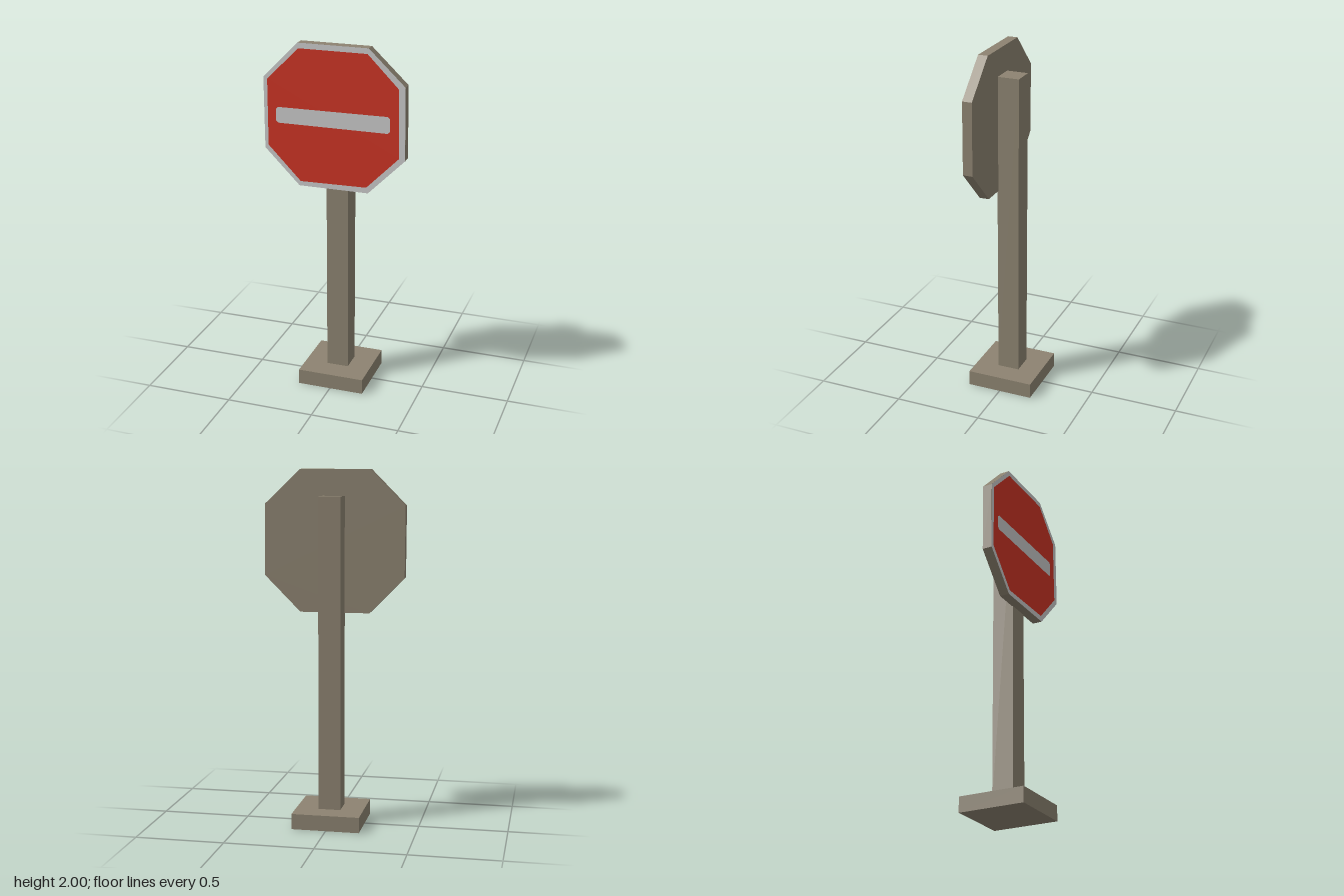
import * as THREE from 'three';

const material = (name, color) => {
  const m = new THREE.MeshStandardMaterial({ color });
  m.name = name;
  return m;
};

export function createModel() {
  const group = new THREE.Group();
  group.name = 'roadSign';
  const post = material('greyBrown', 0x8d8371);
  const white = material('paleGrey', 0xcacaca);
  const red = material('signRed', 0xcc3424);

  const add = (name, geometry, mat, x = 0, y = 0, z = 0) => {
    const mesh = new THREE.Mesh(geometry, mat);
    mesh.name = name;
    mesh.position.set(x, y, z);
    group.add(mesh);
  };
  const outline = (points) => new THREE.Shape(points.map(([x, y]) => new THREE.Vector2(x, y)));

  // Foot and square post
  add('base', new THREE.BoxGeometry(0.384, 0.088, 0.382), post, 0.003, 0.044, 0);
  add('post', new THREE.BoxGeometry(0.126, 1.766, 0.126), post, 0.003, 0.969, -0.001);

  // Slightly uneven octagonal board
  const rim = outline([
    [-0.2, 1.2], [0.195, 1.2], [0.4, 1.406], [0.395, 1.808],
    [0.193, 2], [-0.202, 2], [-0.4, 1.8], [-0.398, 1.4],
  ]);
  add('board', new THREE.ExtrudeGeometry(rim, { depth: 0.055, bevelEnabled: false }), post, 0, 0, 0.057);

  // Painted front: pale border, red field, pale bar
  add('border', new THREE.ShapeGeometry(rim), white, 0, 0, 0.1128);
  const field = outline([
    [-0.192, 1.226], [0.185, 1.232], [0.366, 1.415], [0.36, 1.795],
    [0.187, 1.97], [-0.197, 1.97], [-0.378, 1.79], [-0.378, 1.417],
  ]);
  add('redField', new THREE.ShapeGeometry(field), red, 0, 0, 0.1138);
  const bar = outline([
    [-0.318, 1.549], [0.303, 1.549], [0.314, 1.56], [0.314, 1.631],
    [0.303, 1.642], [-0.318, 1.638], [-0.33, 1.627], [-0.33, 1.56],
  ]);
  add('bar', new THREE.ShapeGeometry(bar), white, 0, 0, 0.1148);

  return group;
}
